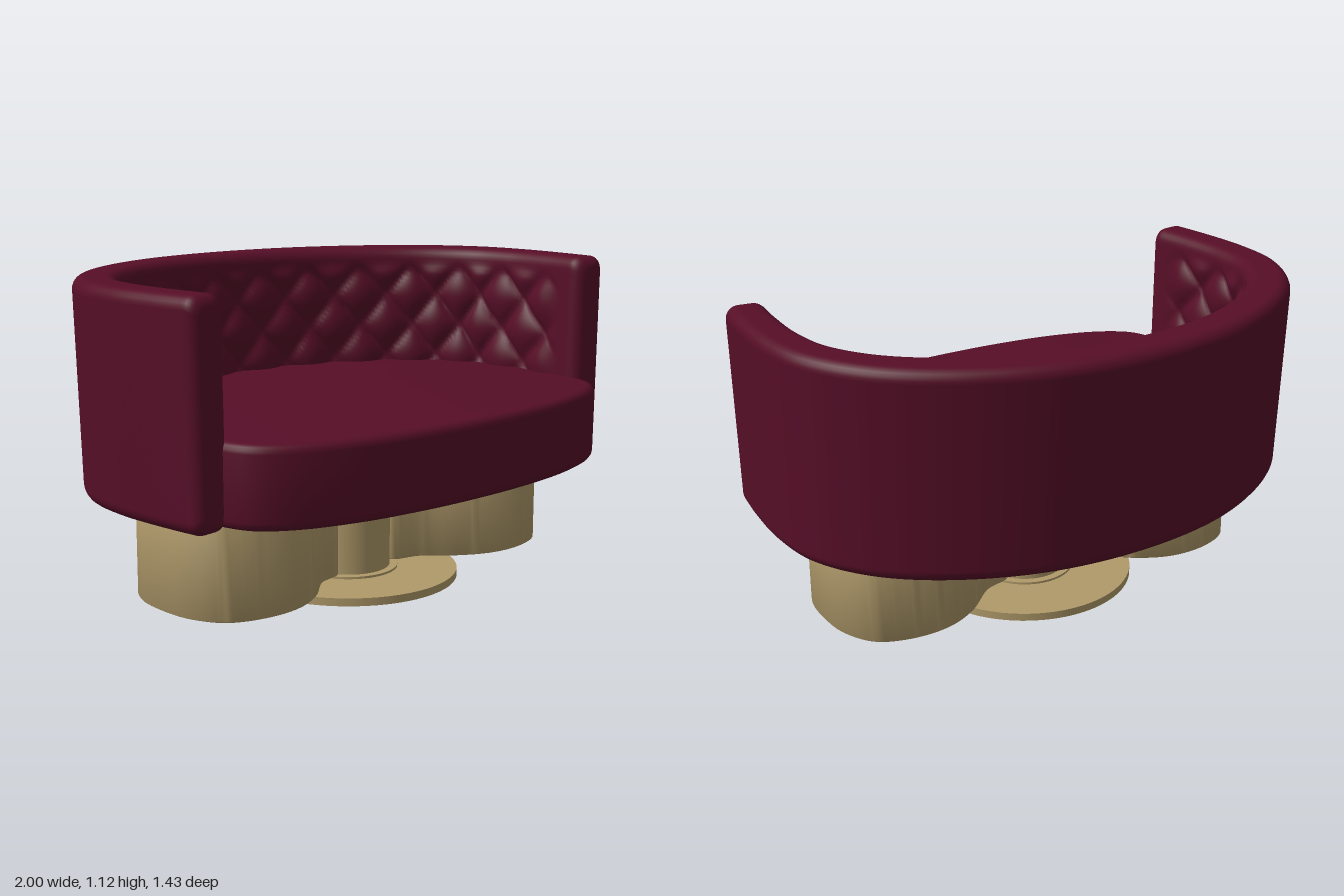
import * as THREE from 'three';
import { toCreasedNormals } from 'three/addons/utils/BufferGeometryUtils.js';

const upholstery = new THREE.MeshStandardMaterial({ name: 'burgundyUpholstery', color: 0x560e27 });
const brass = new THREE.MeshStandardMaterial({ name: 'brushedBrass', color: 0xb09a6a });

function addMesh(group, name, geometry, material) {
  const mesh = new THREE.Mesh(geometry, material);
  mesh.name = name;
  group.add(mesh);
  return mesh;
}

// Solid with a smooth closed plan outline of [x, z] points, between two heights
function planSolid(points, y0, y1, bevel) {
  const pts = points.map(([x, z]) => new THREE.Vector3(x, -z, 0));
  const outline = new THREE.CatmullRomCurve3(pts, true).getPoints(96).slice(0, -1);
  const shape = new THREE.Shape(outline.map((p) => new THREE.Vector2(p.x, p.y)));
  const geo = new THREE.ExtrudeGeometry(shape, {
    depth: y1 - y0 - 2 * bevel, bevelEnabled: true, bevelThickness: bevel,
    bevelSize: bevel, bevelOffset: -bevel, bevelSegments: 4,
  });
  geo.rotateX(-Math.PI / 2).translate(0, y0 + bevel, 0);
  return toCreasedNormals(geo, 0.6);
}

// Mirrors a half list of [x, z] points that ends on x = 0
const mirrored = (half) => [...half, ...half.slice(0, -1).reverse().map(([x, z]) => [-x, z])];

// Rounded section of the backrest, as [across 0..1, height, isInner]
function backSection(t, y0, y1, r) {
  const out = [];
  const corner = (cx, cy, a0) => {
    for (let k = 0; k <= 6; k++) {
      const a = a0 - (k / 6) * Math.PI / 2;
      out.push([cx + r * Math.cos(a), cy + r * Math.sin(a), false]);
    }
  };
  corner(r, y1 - r, Math.PI);
  corner(t - r, y1 - r, Math.PI / 2);
  const n = 44;
  for (let k = 1; k < n; k++) out.push([t, y1 - r - (k / n) * (y1 - y0 - 2 * r), true]);
  corner(t - r, y0 + r, 0);
  corner(r, y0 + r, -Math.PI / 2);
  return out;
}

// Curved backrest: section swept round the outer outline, with diamond tufting inside
function backrestGeometry() {
  const y0 = 0.38, y1 = 1.115, r = 0.045, steps = 260;
  const half = [[0.965, 0.44], [0.99, 0.25], [1.0, 0.05], [0.97, -0.16], [0.85, -0.37],
    [0.65, -0.54], [0.35, -0.675], [0, -0.72]];
  const curve = new THREE.CatmullRomCurve3(mirrored(half).map(([x, z]) => new THREE.Vector3(x, 0, z)));
  curve.arcLengthDivisions = 800;
  const length = curve.getLength();
  const stations = [];
  for (let i = 0; i <= 8; i++) stations.push(r * (1 - Math.cos((i / 8) * Math.PI / 2)));
  for (let i = 1; i < steps; i++) stations.push(r + (i / steps) * (length - 2 * r));
  for (let i = 8; i >= 0; i--) stations.push(length - stations[i]);

  const position = [], index = [];
  let m = 0;
  for (const d of stations) {
    const u = d / length;
    const p = curve.getPointAt(u), tan = curve.getTangentAt(u);
    const t = 0.14 + 0.025 * Math.sin(Math.PI * u);
    const e = Math.min(d, length - d);
    const inset = e < r ? r - Math.sqrt(Math.max(0, r * r - (r - e) ** 2)) : 0;
    const ring = backSection(t, y0, y1, r);
    m = ring.length;
    for (const [s0, h, inner] of ring) {
      let s = s0;
      if (inner) {
        const a = (d - length / 2) / 0.25, b = (h - 0.69) / 0.24;
        const puff = Math.sqrt(Math.abs(Math.sin(Math.PI * (a + b)) * Math.sin(Math.PI * (a - b))));
        const fade = THREE.MathUtils.smoothstep(1.06 - h, 0, 0.06)
          * THREE.MathUtils.smoothstep(h, 0.5, 0.6) * THREE.MathUtils.smoothstep(e, 0.08, 0.2);
        s += fade * (0.04 * puff - 0.02);
      }
      const mid = (y0 + y1) / 2;
      s = t / 2 + (s - t / 2) * (1 - inset / (t / 2));
      const y = mid + (h - mid) * (1 - inset / ((y1 - y0) / 2));
      const x = p.x + tan.z * s, z = p.z - tan.x * s;
      // the shell leans outward towards the top, mostly at the back
      const low = (y1 - y) / (y1 - y0);
      position.push(x * (1 - 0.012 * low), y, z < 0 ? z * (1 - 0.065 * low) : z);
    }
  }
  const rows = stations.length;
  for (let i = 0; i < rows - 1; i++) {
    for (let j = 0; j < m; j++) {
      const a = i * m + j, c = i * m + (j + 1) % m;
      index.push(a, a + m, c, a + m, c + m, c);
    }
  }
  // end caps
  for (const row of [0, rows - 1]) {
    const centre = position.length / 3, sum = [0, 0, 0];
    for (let j = 0; j < m; j++) for (let k = 0; k < 3; k++) sum[k] += position[(row * m + j) * 3 + k] / m;
    position.push(...sum);
    for (let j = 0; j < m; j++) {
      const a = row * m + j, b = row * m + (j + 1) % m;
      if (row === 0) index.push(centre, a, b);
      else index.push(centre, b, a);
    }
  }
  const geo = new THREE.BufferGeometry();
  geo.setAttribute('position', new THREE.Float32BufferAttribute(position, 3));
  geo.setIndex(index);
  geo.computeVertexNormals();
  return geo;
}

export function createModel() {
  const model = new THREE.Group();
  model.name = 'tuftedLoveseat';

  addMesh(model, 'backrest', backrestGeometry(), upholstery);

  // Seat cushion, bowed at the front and tucked into the backrest
  const seatHalf = [[0, 0.71], [0.25, 0.7], [0.5, 0.665], [0.7, 0.6], [0.81, 0.52], [0.853, 0.42],
    [0.88, 0.1], [0.86, -0.1], [0.78, -0.27], [0.62, -0.42], [0.35, -0.54], [0, -0.58]];
  const seat = [...seatHalf, ...seatHalf.slice(1, -1).reverse().map(([x, z]) => [-x, z])];
  addMesh(model, 'seat', planSolid(seat, 0.393, 0.665, 0.03), upholstery);

  // Pair of supports, broad outside and pinched towards the middle
  const flank = [[0.13, 0.09], [0.24, 0.13], [0.36, 0.23], [0.48, 0.285], [0.62, 0.29], [0.75, 0.24], [0.815, 0.13]];
  const zc = 0.063;
  for (const side of [1, -1]) {
    const pod = [...flank, [0.83, 0], ...flank.slice().reverse().map(([x, z]) => [x, -z])]
      .map(([x, z]) => [side * x, z + zc]);
    addMesh(model, side > 0 ? 'leftSupport' : 'rightSupport', planSolid(pod, 0.04, 0.41, 0.004), brass);
  }

  // Central post, its collar and the floor disc
  const cylinder = (name, radius, y0, y1) => {
    const geo = new THREE.CylinderGeometry(radius, radius, y1 - y0, 64);
    addMesh(model, name, geo, brass).position.set(0, (y0 + y1) / 2, zc);
  };
  cylinder('post', 0.152, 0.02, 0.41);
  cylinder('postCollar', 0.18, 0.02, 0.036);
  cylinder('floorDisc', 0.395, 0, 0.028);

  return model;
}
